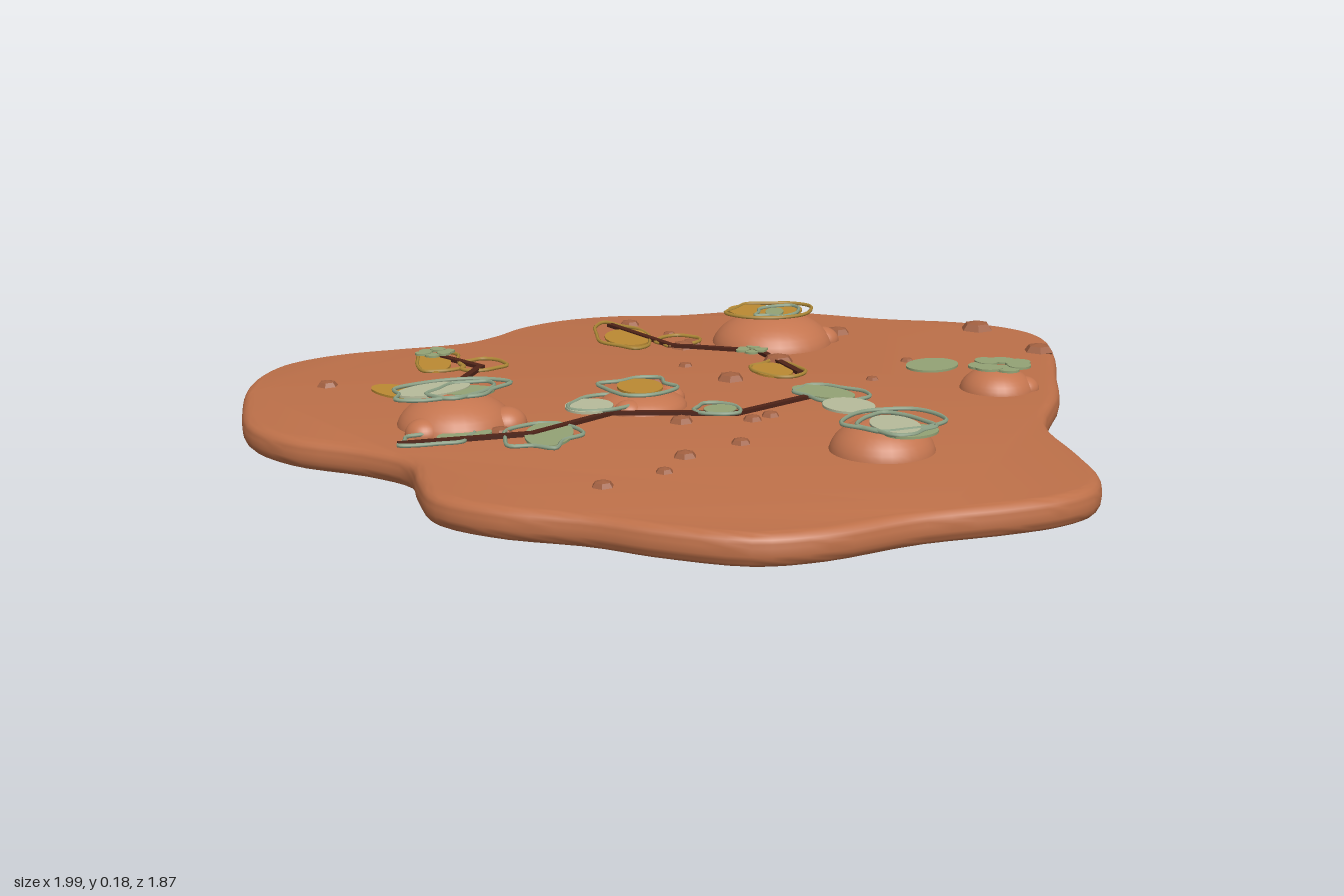
import * as THREE from 'three';
import { toCreasedNormals } from 'three/addons/utils/BufferGeometryUtils.js';

const material = (name, color) => {
  const m = new THREE.MeshStandardMaterial({ color });
  m.name = name;
  return m;
};

export function createModel() {
  const model = new THREE.Group();
  model.name = 'desertGroundPatch';
  const clay = material('clay', 0xbd7049);
  const rock = material('rock', 0xc4754f);
  const stone = material('darkStone', 0xa05f40);
  const bark = material('bark', 0x4e2318);
  const ochre = material('ochre', 0xbb8a33);
  const sage = material('sage', 0x93a275);
  const pale = material('paleSage', 0xb7bb9b);
  const tendrilGreen = material('tendrilGreen', 0x8fa488);
  const tendrilGold = material('tendrilGold', 0xb08a38);

  let seed = 7;
  const rand = () => (seed = (seed * 16807) % 2147483647) / 2147483647;
  const add = (name, geometry, mat, x = 0, y = 0, z = 0, parent = model) => {
    const mesh = new THREE.Mesh(geometry, mat);
    mesh.name = name;
    mesh.position.set(x, y, z);
    parent.add(mesh);
    return mesh;
  };

  // Slab: wavy outline with a rounded rim
  const outline = [
    [0, -.94], [.15, -.92], [.3, -.85], [.47, -.81], [.61, -.71], [.75, -.55], [.91, -.41], [.985, -.28],
    [.99, -.17], [.91, -.02], [.79, .14], [.68, .29], [.49, .49], [.41, .7], [.35, .84], [.28, .91],
    [.19, .93], [.08, .92], [-.1, .885], [-.3, .88], [-.43, .84], [-.56, .71], [-.64, .6], [-.77, .47],
    [-.84, .34], [-.825, .22], [-.8, .1], [-.85, -.02], [-.96, -.17], [-1, -.32], [-.96, -.51], [-.89, -.69],
    [-.8, -.8], [-.72, -.84], [-.61, -.855], [-.48, -.84], [-.32, -.82], [-.23, -.85], [-.13, -.91],
  ].map(([x, z]) => new THREE.Vector3(x, z, 0));
  const rim = new THREE.CatmullRomCurve3(outline, true).getPoints(150).slice(0, -1);
  const slab = toCreasedNormals(new THREE.ExtrudeGeometry(
    new THREE.Shape(rim.map((p) => new THREE.Vector2(p.x, p.y))),
    { depth: .015, bevelThickness: .025, bevelSize: .025, bevelOffset: -.025, bevelSegments: 5, curveSegments: 1 }), .7);
  slab.rotateX(Math.PI / 2);
  add('slab', slab, clay, 0, .075, 0);

  // Boulders: flattened spheres half sunk in the slab, with small side lumps
  const ball = new THREE.SphereGeometry(1, 32, 20);
  const boulder = (x, y, z, r, h, lumps = []) => {
    const group = new THREE.Group();
    group.name = 'boulder';
    model.add(group);
    add('boulderBody', ball, rock, x, y, z, group).scale.set(r, h, r);
    for (const [lx, lz, lr] of lumps) add('boulderLump', ball, rock, lx, .1, lz, group).scale.set(lr, lr * .8, lr);
  };
  boulder(.36, .0875, -.45, .15, .0875, [[.475, -.4, .042], [.44, -.53, .04]]);
  boulder(-.61, .09, -.12, .125, .075, [[-.52, -.06, .045], [-.7, -.07, .04]]);
  boulder(.07, .09, .49, .11, .075);
  boulder(.57, .09, .2, .085, .06, [[.62, .235, .035]]);
  boulder(-.2, .095, -.055, .1, .042, [[-.12, -.08, .035], [-.255, -.01, .035]]);

  // Pebbles: six-sided, x, z, radius
  const pebbleShape = new THREE.SphereGeometry(1, 6, 4).toNonIndexed();
  pebbleShape.computeVertexNormals();
  for (const [x, z, r] of [
    [-.75, -.555, .025], [.13, -.785, .027], [.17, -.64, .017], [.135, -.495, .032], [.17, -.52, .026],
    [.55, -.445, .032], [.885, -.31, .042], [.26, -.25, .04], [.05, -.325, .018], [-.1, -.215, .035],
    [.08, -.16, .033], [-.615, -.23, .036], [.875, -.04, .037], [.535, -.11, .017], [.365, 0, .016],
    [-.535, .445, .023], [-.39, .42, .019], [-.305, .345, .025], [-.16, .315, .022], [-.05, .17, .022],
    [0, .16, .021], [-.19, .11, .027], [-.56, .005, .027],
  ]) add('pebble', pebbleShape, stone, x, .1, z).scale.set(r, r * .55, r);

  // Twigs: straight sticks between joints
  const twig = (points) => {
    const group = new THREE.Group();
    group.name = 'twig';
    model.add(group);
    for (let i = 1; i < points.length; i++) {
      const [ax, az] = points[i - 1], [bx, bz] = points[i];
      const length = Math.hypot(bx - ax, bz - az);
      const stick = add('twigSegment', new THREE.BoxGeometry(length + .012, .008, .016), bark,
        (ax + bx) / 2, .109, (az + bz) / 2, group);
      stick.rotation.y = -Math.atan2(bz - az, bx - ax);
    }
  };
  twig([[-.44, -.68], [-.39, -.52], [-.515, -.38]]);
  twig([[.07, -.77], [.1, -.5], [.26, -.34], [.235, -.11]]);
  twig([[-.78, .01], [-.515, .07], [-.3, 0], [-.07, .135], [.2, .075]]);

  // Leaves: thin oval plates, x, y, z, half width, half length, turn
  const disc = new THREE.CylinderGeometry(1, 1, 1, 28);
  const leaf = (mat, x, y, z, rx, rz, turn = 0) => {
    const mesh = add('leaf', disc, mat, x, y, z);
    mesh.scale.set(rx, .005, rz);
    mesh.rotation.y = turn;
  };
  leaf(ochre, -.47, .107, -.62, .042, .095, -.3);
  leaf(ochre, -.635, .107, -.395, .042, .085, .35);
  leaf(ochre, .05, .107, -.63, .058, .09, -.3);
  leaf(ochre, .195, .107, -.165, .045, .068, -.2);
  leaf(ochre, .33, .174, -.47, .065, .085, .2);
  leaf(ochre, .4, .174, -.46, .045, .06, -.5);
  leaf(sage, .355, .178, -.43, .022, .045, -.6);
  leaf(ochre, -.2, .139, -.065, .05, .065, -.3);
  leaf(pale, -.335, .118, -.04, .052, .058, -.6);
  leaf(sage, -.64, .107, .005, .06, .032);
  leaf(sage, -.485, .107, .085, .05, .095, -.5);
  leaf(sage, -.09, .112, .1, .036, .034);
  leaf(sage, .18, .112, .085, .045, .08, .4);
  leaf(sage, .44, .153, .13, .066, .054, .3);
  leaf(pale, .065, .163, .37, .052, .062);
  leaf(pale, .06, .166, .55, .048, .07, -.2);
  leaf(sage, .065, .164, .6, .058, .045);
  leaf(pale, -.64, .165, -.165, .085, .048, .15);
  leaf(sage, -.58, .163, -.13, .06, .04, -.4);

  // Rosettes: clusters of small round leaves
  const rosette = (x, y, z, r, n) => {
    for (let i = 0; i < n; i++) {
      const a = i / n * Math.PI * 2;
      leaf(sage, x + Math.cos(a) * r, y + (i % 2) * .002, z + Math.sin(a) * r * .8, r * .65, r * .55, a);
    }
  };
  rosette(-.44, .114, -.685, .03, 6);
  rosette(.24, .114, -.34, .026, 6);
  rosette(.575, .153, .205, .048, 7);

  // Tendrils: thin wobbly loops around the leaves
  const tendril = (mat, x, y, z, rx, rz, turn = 0) => {
    const points = [];
    for (let i = 0; i < 11; i++) {
      const a = i / 11 * Math.PI * 2, k = .78 + rand() * .4;
      const px = Math.cos(a) * rx * k, pz = Math.sin(a) * rz * k;
      points.push(new THREE.Vector3(px * Math.cos(turn) + pz * Math.sin(turn), 0,
        pz * Math.cos(turn) - px * Math.sin(turn)));
    }
    const curve = new THREE.CatmullRomCurve3(points, true);
    add('tendril', new THREE.TubeGeometry(curve, 66, .0045, 5, true), mat, x, y, z);
  };
  tendril(tendrilGold, -.455, .108, -.62, .055, .11, -.3);
  tendril(tendrilGold, -.38, .108, -.54, .055, .055);
  tendril(tendrilGold, -.55, .108, -.34, .065, .07);
  tendril(tendrilGold, .05, .108, -.65, .065, .15, -.2);
  tendril(tendrilGold, .14, .108, -.54, .06, .05);
  tendril(tendrilGold, .21, .108, -.16, .06, .08);
  tendril(tendrilGold, .36, .177, -.46, .1, .09);
  tendril(tendrilGreen, .37, .179, -.44, .075, .05, .5);
  tendril(tendrilGreen, -.62, .167, -.14, .125, .075);
  tendril(tendrilGreen, -.6, .168, -.12, .085, .055, .5);
  tendril(tendrilGreen, -.7, .108, 0, .08, .05);
  tendril(tendrilGreen, -.5, .108, .08, .075, .1, -.5);
  tendril(tendrilGreen, -.21, .142, -.06, .085, .075);
  tendril(tendrilGreen, -.3, .12, -.05, .08, .055);
  tendril(tendrilGreen, -.09, .112, .09, .05, .05);
  tendril(tendrilGreen, .19, .112, .09, .06, .085, .4);
  tendril(tendrilGreen, .07, .167, .52, .1, .085);
  tendril(tendrilGreen, .06, .168, .55, .07, .09);

  return model;
}
